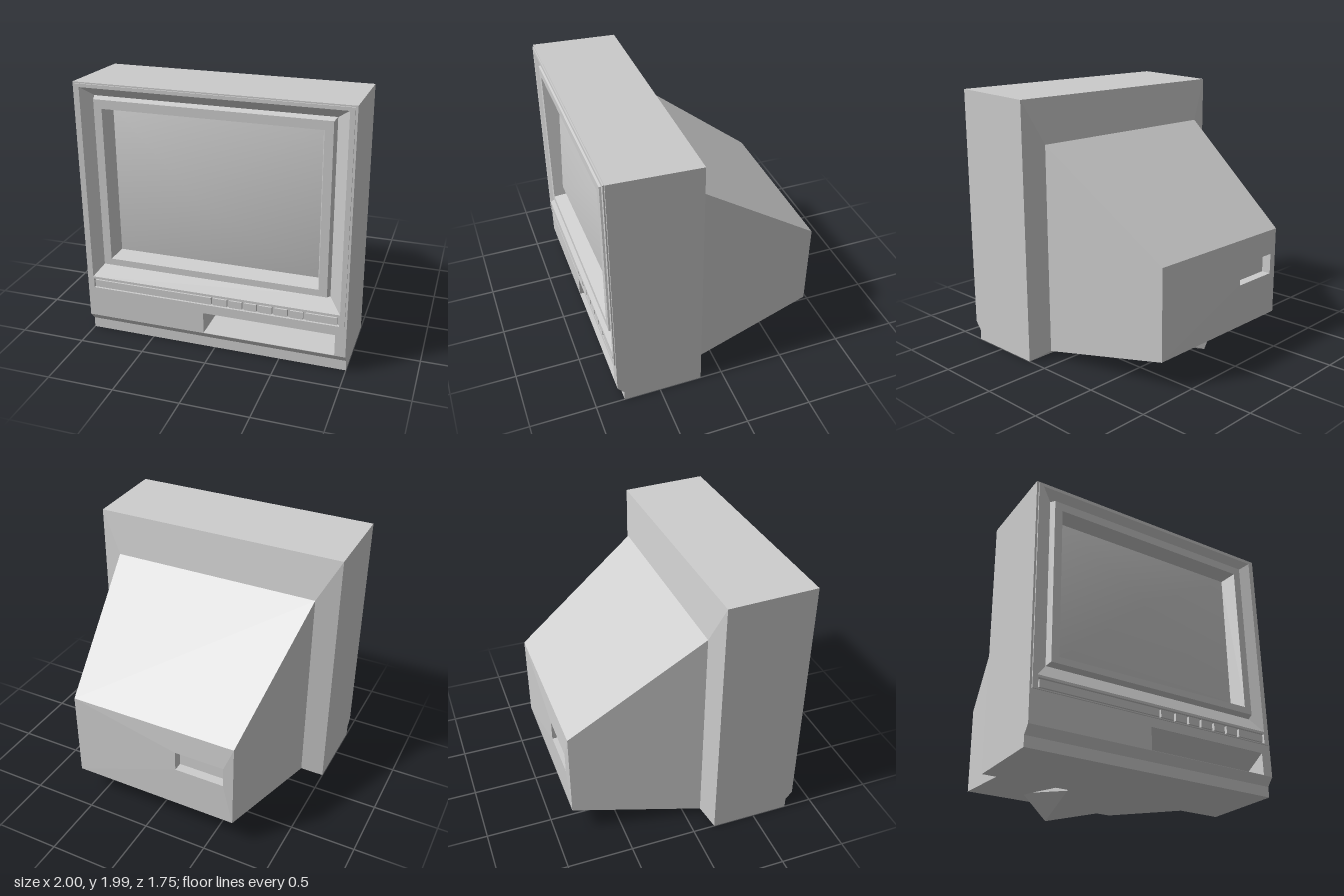
import * as THREE from 'three';

const casing = new THREE.MeshStandardMaterial({ color: 0xcccccc });
casing.name = 'light grey casing';

function meshFrom(name, positions, index) {
  let geometry = new THREE.BufferGeometry();
  geometry.setAttribute('position', new THREE.Float32BufferAttribute(positions, 3));
  if (index) geometry.setIndex(index);
  geometry.computeVertexNormals();
  const mesh = new THREE.Mesh(geometry, casing);
  mesh.name = name;
  return mesh;
}

// Joins rectangular sections [halfWidth, y0, y1, z or [zBottom, zTop], centreX]
// into flat faces, running towards +z on the outside and back into recesses.
function rectLoft(name, sections, capEnd) {
  const rings = sections.map(([h, y0, y1, z, cx = 0]) => {
    const [zb, zt] = Array.isArray(z) ? z : [z, z];
    return [[cx - h, y0, zb], [cx + h, y0, zb], [cx + h, y1, zt], [cx - h, y1, zt]];
  });
  const out = [];
  const quad = (a, b, c, d) => out.push(...a, ...b, ...c, ...a, ...c, ...d);
  for (let r = 0; r < rings.length - 1; r++) {
    const a = rings[r], b = rings[r + 1];
    for (let i = 0; i < 4; i++) {
      const j = (i + 1) % 4;
      quad(a[i], a[j], b[j], b[i]);
    }
  }
  if (capEnd) quad(...rings[rings.length - 1]);
  return meshFrom(name, out);
}

function block(name, x0, x1, y0, y1, z0, z1) {
  const mesh = new THREE.Mesh(new THREE.BoxGeometry(x1 - x0, y1 - y0, z1 - z0), casing);
  mesh.position.set((x0 + x1) / 2, (y0 + y1) / 2, (z0 + z1) / 2);
  mesh.name = name;
  return mesh;
}

export function createModel() {
  const group = new THREE.Group();
  group.name = 'television';

  // Main housing, stepped rim, sloping bezel and raised screen frame
  group.add(rectLoft('housing', [
    [0.83, 0.045, 1.635, 0.12],
    [1, 0, 1.965, 0.17],
    [1, 0, 1.974, 0.4],
    [1, 0.475, 1.974, 0.4],
    [1, 0.475, 1.99, 0.83],
    [0.985, 0.475, 1.98, 0.83],
    [0.985, 0.475, 1.98, 0.84],
    [0.95, 0.48, 1.955, 0.84],
    [0.865, 0.585, 1.89, 0.78],
    [0.85, 0.6, 1.875, 0.83],
    [0.79, 0.65, 1.81, 0.83],
    [0.76, 0.68, 1.79, 0.71],
  ]));

  // Bulging screen
  group.add(meshFrom('screen', [
    -0.76, 0.68, 0.71, 0.76, 0.68, 0.71, 0.76, 1.79, 0.71, -0.76, 1.79, 0.71,
    -0.1, 1.24, 0.877,
  ], [0, 1, 4, 1, 2, 4, 2, 3, 4, 3, 0, 4]));

  // Control band with a shallow slot
  group.add(rectLoft('controlBand', [
    [1, 0.37, 0.475, 0.4],
    [1, 0.37, 0.475, 0.83],
    [0.985, 0.38, 0.475, 0.83],
    [0.985, 0.38, 0.475, 0.84],
    [0.945, 0.388, 0.462, 0.84],
    [0.945, 0.388, 0.462, 0.815],
  ], true));
  group.add(block('controlCover', -0.935, -0.005, 0.397, 0.453, 0.81, 0.838));
  const buttons = [[0.01, 0.115], [0.135, 0.23], [0.25, 0.34], [0.36, 0.455],
    [0.475, 0.57], [0.59, 0.685], [0.705, 0.93]];
  buttons.forEach(([x0, x1], i) =>
    group.add(block('button' + (i + 1), x0, x1, 0.397, 0.453, 0.81, 0.838)));

  // Lower front panel with a recess that deepens towards its floor
  group.add(rectLoft('lowerPanel', [
    [1, 0, 0.37, 0.4],
    [1, 0, 0.37, 0.78],
    [1, 0.08, 0.37, 0.78],
    [1, 0.14, 0.37, 0.83],
    [0.495, 0.143, 0.31, 0.83, 0.425],
    [0.495, 0.143, 0.31, [0.56, 0.825], 0.425],
  ], true));

  // Tapered tube cover with a socket recess, made facing forward then turned round
  const back = rectLoft('tubeCover', [
    [0.83, 0.045, 1.635, -0.12],
    [0.665, 0.21, 0.9, 0.862],
    [0.195, 0.55, 0.71, 0.872, 0.395],
    [0.195, 0.55, 0.71, 0.8, 0.395],
  ], true);
  back.rotation.y = Math.PI;
  group.add(back);

  // Rear foot: wide under the cover, narrowing to a point on the ground
  group.add(meshFrom('rearFoot', new THREE.BufferGeometry().setFromPoints([
    [0.37, 0, 0.15], [-0.33, 0, 0.15], [-0.08, 0, -0.64],
    [0.31, 0.17, -0.56], [-0.33, 0.17, -0.56],
    [0.37, 0.1, 0.15], [-0.33, 0.1, 0.15],
  ].map((p) => new THREE.Vector3(...p))).setIndex([
    0, 1, 2, 0, 2, 3, 2, 4, 3, 1, 4, 2, 0, 3, 5, 1, 6, 4,
  ]).toNonIndexed().attributes.position.array));

  return group;
}
